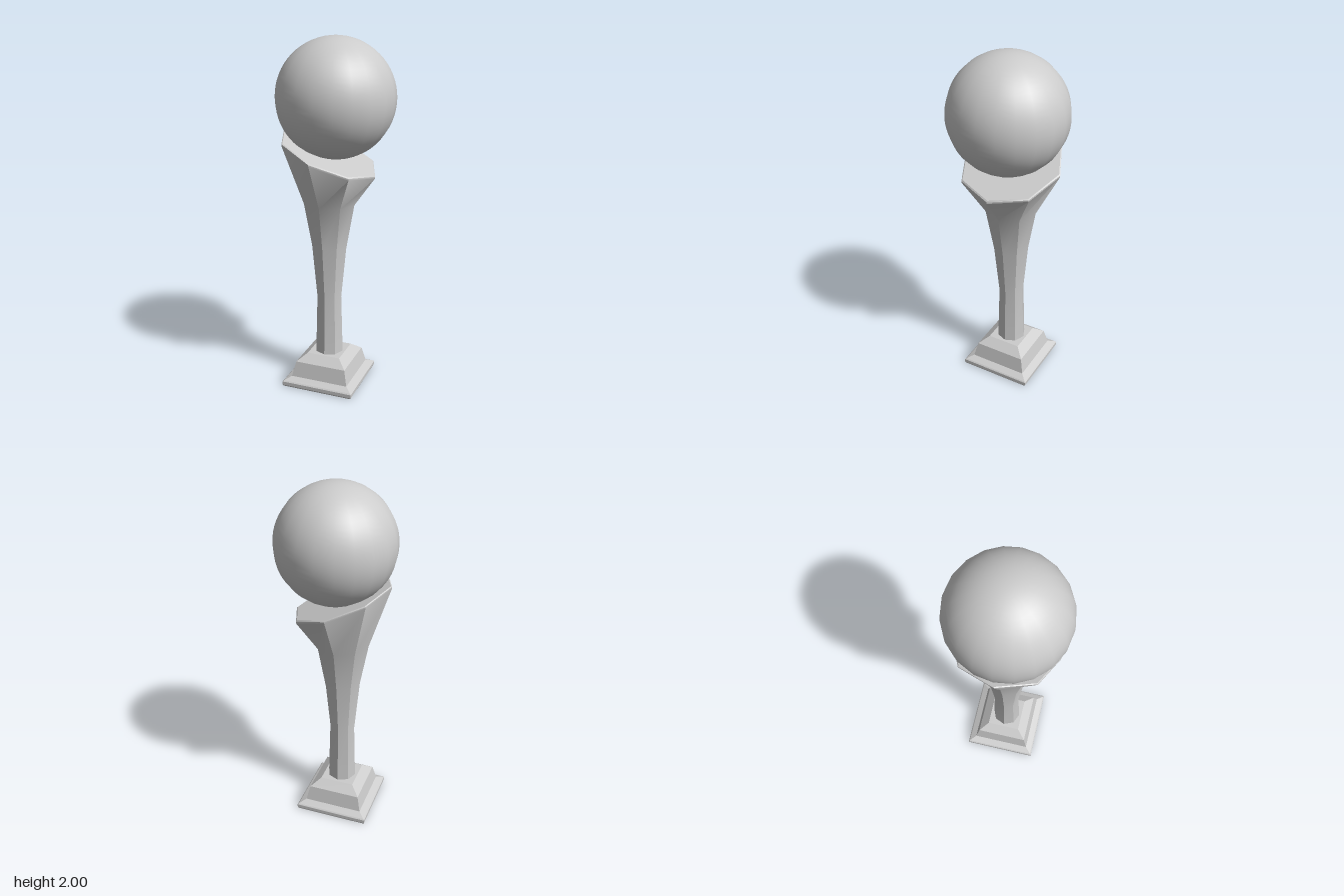
import * as THREE from 'three';
import { toCreasedNormals } from 'three/addons/utils/BufferGeometryUtils.js';

const AXIS_X = -0.04; // the pedestal stands slightly off the ball's axis

// Skin stacked regular rings; each ring is { y, r, tilt } and both ends are capped.
function loft(rings, sides, startAngle) {
  const pos = [];
  const index = [];
  for (const { y, r, tilt = 0 } of rings) {
    for (let i = 0; i < sides; i++) {
      const a = startAngle + (i / sides) * Math.PI * 2;
      const x = Math.cos(a) * r;
      pos.push(x * Math.cos(tilt), y - x * Math.sin(tilt), Math.sin(a) * r);
    }
  }
  for (let k = 0; k < rings.length - 1; k++) {
    for (let i = 0; i < sides; i++) {
      const j = (i + 1) % sides;
      const a = k * sides + i, b = k * sides + j;
      index.push(a, a + sides, b, b, a + sides, b + sides);
    }
  }
  const top = (rings.length - 1) * sides;
  for (let i = 1; i < sides - 1; i++) {
    index.push(0, i, i + 1, top, top + i + 1, top + i);
  }
  const geo = new THREE.BufferGeometry();
  geo.setAttribute('position', new THREE.Float32BufferAttribute(pos, 3));
  geo.setIndex(index);
  return geo;
}

export function createModel() {
  const group = new THREE.Group();
  const material = new THREE.MeshStandardMaterial({ color: 0xcccccc });
  const add = (name, geo, x, y) => {
    const mesh = new THREE.Mesh(geo, material);
    mesh.name = name;
    mesh.position.set(x, y, 0);
    group.add(mesh);
  };

  // Square stepped base: [half width, height]
  const baseProfile = [[0.208, 0], [0.212, 0.008], [0.212, 0.028], [0.206, 0.034],
    [0.17, 0.052], [0.15, 0.14], [0.098, 0.182]];
  const baseRings = baseProfile.map(([h, y]) => ({ y, r: h * Math.SQRT2 }));
  add('base', toCreasedNormals(loft(baseRings, 4, Math.PI / 4), 0.2), AXIS_X, 0);

  // Octagonal stem flaring to a slanted seat with a thin bevelled rim
  const slant = 0.383;
  const stemRings = [
    { y: 0.17, r: 0.084 },
    { y: 0.53, r: 0.074 },
    { y: 0.84, r: 0.104, tilt: 0.1 },
    { y: 1.095, r: 0.15, tilt: 0.04 },
    { y: 1.362, r: 0.288, tilt: slant },
    { y: 1.371, r: 0.288, tilt: slant },
    { y: 1.376, r: 0.282, tilt: slant },
  ];
  add('stem', toCreasedNormals(loft(stemRings, 8, 0), 0.55), AXIS_X, 0);

  // Ball resting in the slanted seat
  add('ball', new THREE.SphereGeometry(0.326, 20, 32), 0, 1.674);

  return group;
}
